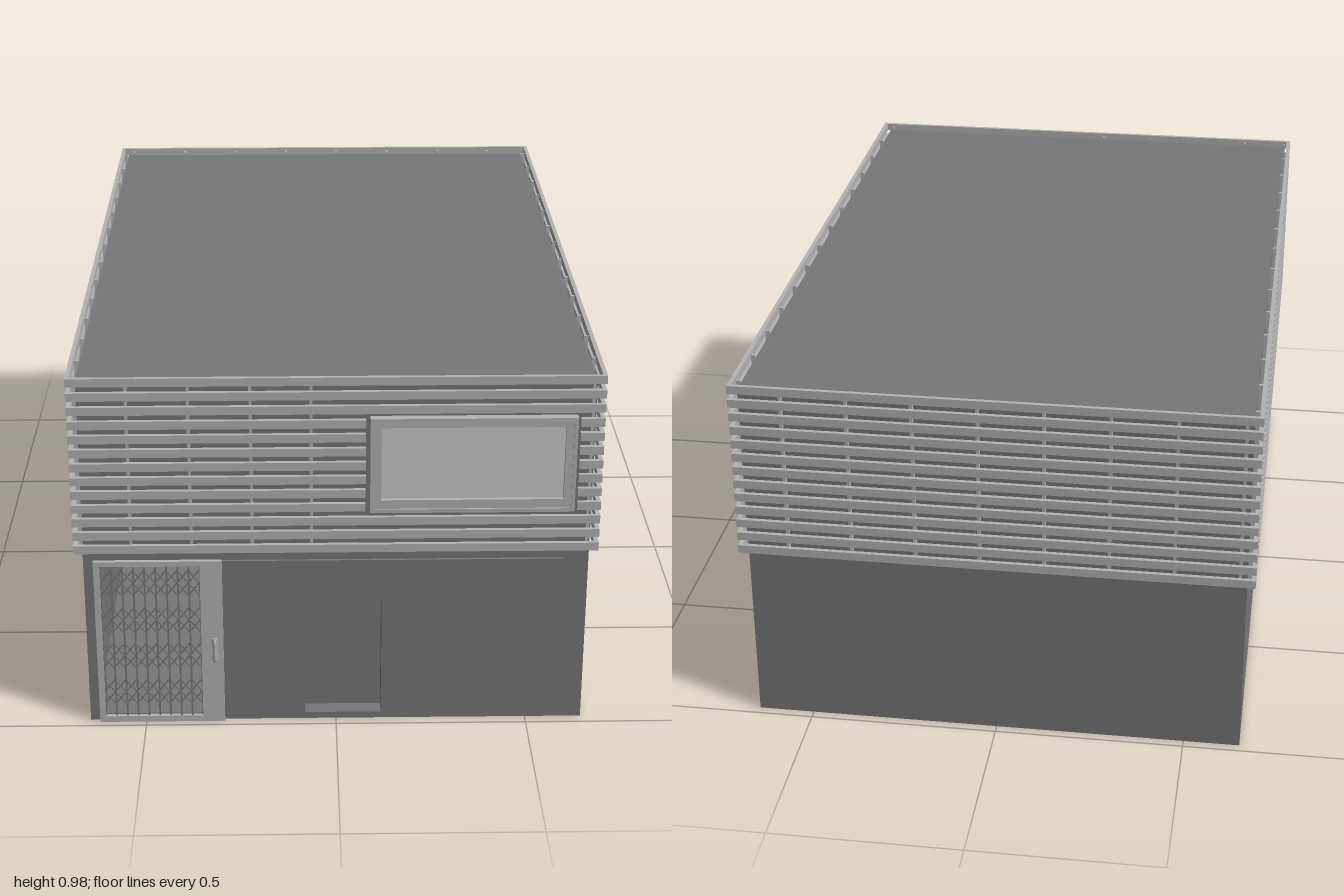
import * as THREE from 'three';

const wallMat = new THREE.MeshStandardMaterial({ color: 0x777777 });
const slatMat = new THREE.MeshStandardMaterial({ color: 0xb4b4b4 });
const glassMat = new THREE.MeshStandardMaterial({ color: 0xcccccc });

// Box given by its lower and upper limits on each axis
function box(name, mat, x0, x1, y0, y1, z0, z1) {
  const m = new THREE.Mesh(new THREE.BoxGeometry(x1 - x0, y1 - y0, z1 - z0), mat);
  m.position.set((x0 + x1) / 2, (y0 + y1) / 2, (z0 + z1) / 2);
  m.name = name;
  return m;
}

function rect(target, x0, x1, y0, y1) {
  target.moveTo(x0, y0);
  target.lineTo(x1, y0);
  target.lineTo(x1, y1);
  target.lineTo(x0, y1);
  target.closePath();
  return target;
}

// Upright plate with rectangular holes, each [x0, x1, y0, y1]
function plate(name, mat, outer, holes, z0, z1) {
  const shape = rect(new THREE.Shape(), ...outer);
  holes.forEach(h => shape.holes.push(rect(new THREE.Path(), ...h)));
  const geo = new THREE.ExtrudeGeometry(shape, { depth: z1 - z0, bevelEnabled: false });
  geo.translate(0, 0, z0);
  const m = new THREE.Mesh(geo, mat);
  m.name = name;
  return m;
}

const X = 0.648, TOP = 0.966, ZF = 0.971, ZB = -0.976, T = 0.045;
const GATE = [-0.606, -0.35, 0.02, 0.463];
const DOOR = [-0.08, 0.118, 0.018, 0.35];

// Hollow building with a gate opening and a recessed door
function building() {
  const g = new THREE.Group();
  g.name = 'building';
  g.add(
    plate('frontWall', wallMat, [-X, X, 0, TOP], [GATE, DOOR], ZF - T, ZF),
    box('backWall', wallMat, -X, X, 0, TOP, ZB, ZB + 0.02),
    box('leftWall', wallMat, X - 0.02, X, 0, TOP, ZB + 0.02, ZF - T),
    box('rightWall', wallMat, -X, -X + 0.02, 0, TOP, ZB + 0.02, ZF - T),
    box('floor', wallMat, -X + 0.02, X - 0.02, 0, 0.015, ZB + 0.02, ZF - T),
    box('roof', wallMat, -X + 0.02, X - 0.02, TOP - 0.02, TOP, ZB + 0.02, ZF - T),
    box('recessedDoor', wallMat, DOOR[0], DOOR[1], DOOR[2], DOOR[3], ZF - T - 0.01, ZF - T + 0.002)
  );
  return g;
}

// Horizontal slats on upright battens around the upper storey
function cladding() {
  const g = new THREE.Group();
  g.name = 'cladding';
  const W = 0.67, F = 0.988, B = -1, D = 0.011, H = 0.011;
  for (let i = 0; i < 13; i++) {
    const y = 0.512 + i * 0.0384, lo = y - H, hi = y + H;
    if (i >= 3 && i <= 9) {
      g.add(box('frontSlat', slatMat, -W, 0.074, lo, hi, F - D, F));
      g.add(box('frontSlat', slatMat, 0.61, W, lo, hi, F - D, F));
    } else g.add(box('frontSlat', slatMat, -W, W, lo, hi, F - D, F));
    g.add(box('backSlat', slatMat, -W, W, lo, hi, B, B + D));
    g.add(box('leftSlat', slatMat, W - D, W, lo, hi, B + D, F - D));
    g.add(box('rightSlat', slatMat, -W, -W + D, lo, hi, B + D, F - D));
  }
  const y0 = 0.497, y1 = 0.975, w = 0.004;
  [-0.65, -0.523, -0.369, -0.214, -0.063, 0.64].forEach(x =>
    g.add(box('frontBatten', slatMat, x - w, x + w, y0, y1, ZF, F - D)));
  for (let i = 0; i < 8; i++) {
    const x = -0.63 + i * 0.167;
    g.add(box('backBatten', slatMat, x - w, x + w, y0, y1, B + D, ZB));
  }
  for (let i = 0; i < 13; i++) {
    const z = -0.945 + i * 0.149;
    g.add(box('leftBatten', slatMat, X, W - D, y0, y1, z - w, z + w));
    g.add(box('rightBatten', slatMat, -W + D, -X, y0, y1, z - w, z + w));
  }
  return g;
}

// Framed upper window
function upperWindow() {
  const g = new THREE.Group();
  g.name = 'window';
  g.add(
    plate('windowOuterFrame', slatMat, [0.085, 0.603, 0.614, 0.873], [[0.095, 0.593, 0.624, 0.863]], ZF, 0.993),
    plate('windowInnerFrame', slatMat, [0.095, 0.593, 0.624, 0.863], [[0.113, 0.574, 0.648, 0.847]], ZF, 0.989),
    box('windowPane', glassMat, 0.113, 0.574, 0.648, 0.847, ZF, 0.979)
  );
  return g;
}

// Sliding gate with upright bars and bands of crossed lattice
function slidingGate() {
  const g = new THREE.Group();
  g.name = 'slidingGate';
  const [x0, x1, y0, y1] = GATE, z = 0.981, n = 9, step = (x1 - x0) / n, cell = 0.036;
  g.add(plate('gateFrame', slatMat, [-0.622, -0.293, 0.003, 0.477], [GATE], 0.976, 0.987));
  for (let i = 0; i <= n; i++) {
    const x = x0 + i * step;
    g.add(box('gateBar', wallMat, x - 0.0022, x + 0.0022, y0, y1, z - 0.002, z + 0.002));
  }
  const brace = new THREE.BoxGeometry(0.003, Math.hypot(step, cell), 0.002);
  for (const band of [0.413, 0.305, 0.2, 0.092]) {
    for (const row of [-0.5, 0.5]) {
      for (let i = 0; i < n; i++) {
        for (const s of [-1, 1]) {
          const m = new THREE.Mesh(brace, wallMat);
          m.name = 'gateLattice';
          m.position.set(x0 + (i + 0.5) * step, band + row * cell, z + s * 0.003);
          m.rotation.z = s * Math.atan2(step, cell);
          g.add(m);
        }
      }
    }
  }
  // Handle: rounded back plate and bent pull bar
  const back = new THREE.Mesh(new THREE.CapsuleGeometry(0.007, 0.06, 4, 12), slatMat);
  back.name = 'handlePlate';
  back.scale.z = 0.3;
  back.position.set(-0.315, 0.217, 0.987);
  const path = new THREE.CatmullRomCurve3([[0.187, 0.986], [0.19, 0.995], [0.2, 0.997], [0.234, 0.997], [0.244, 0.995], [0.247, 0.986]]
    .map(([y, pz]) => new THREE.Vector3(-0.315, y, pz)));
  const pull = new THREE.Mesh(new THREE.TubeGeometry(path, 24, 0.003, 8), slatMat);
  pull.name = 'handle';
  g.add(back, pull);
  return g;
}

export function createModel() {
  const model = new THREE.Group();
  model.name = 'house';
  model.add(building(), cladding(), upperWindow(), slidingGate());
  // Rail the gate slides along
  model.add(box('gateRail', wallMat, -0.293, 0.585, 0.467, 0.473, ZF, 0.978));
  return model;
}
